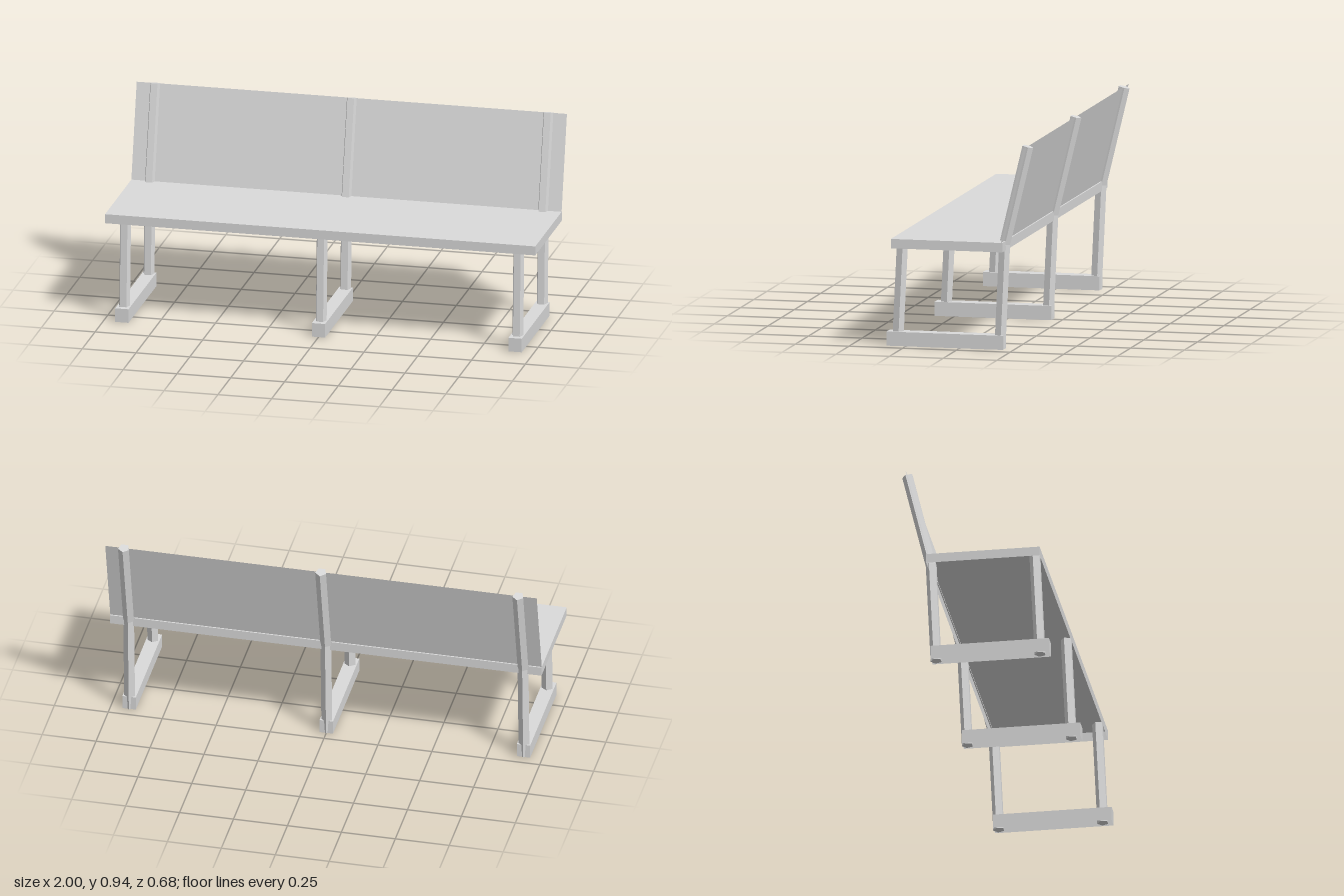
import * as THREE from 'three';

// the seat, rails and backrest are open sheets, so both sides show
const grey = new THREE.MeshStandardMaterial({ color: 0xdadada, side: THREE.DoubleSide });
grey.name = 'grey';

const POST_RADIUS = 0.0265;
const FRAME_X = [-0.914, 0, 0.914];

// Box without an underside, given by its x, y and z limits
function openBox(name, [x0, x1], [y0, y1], [z0, z1]) {
  const geometry = new THREE.BoxGeometry(x1 - x0, y1 - y0, z1 - z0);
  const faces = Array.from(geometry.index.array);
  faces.splice(18, 6); // bottom face
  geometry.setIndex(faces);
  geometry.clearGroups();
  const mesh = new THREE.Mesh(geometry, grey);
  mesh.position.set((x0 + x1) / 2, (y0 + y1) / 2, (z0 + z1) / 2);
  mesh.name = name;
  return mesh;
}

// Five-sided post whose rings follow stations of [y, z, backward tilt], bottom to top
function post(name, stations) {
  const n = stations.length - 1;
  const indexed = new THREE.CylinderGeometry(POST_RADIUS, POST_RADIUS, 1, 5, n, false, Math.PI);
  const p = indexed.attributes.position;
  for (let i = 0; i < p.count; i++) {
    const [y, z, tilt] = stations[Math.round((p.getY(i) + 0.5) * n)];
    const d = p.getZ(i);
    p.setXYZ(i, p.getX(i), y + d * Math.sin(tilt), z + d * Math.cos(tilt));
  }
  const geometry = indexed.toNonIndexed();
  geometry.computeVertexNormals();
  const mesh = new THREE.Mesh(geometry, grey);
  mesh.name = name;
  return mesh;
}

export function createModel() {
  const bench = new THREE.Group();
  bench.name = 'bench';

  bench.add(openBox('seat', [-1, 1], [0.455, 0.498], [-0.214, 0.305]));

  // Backrest sheet running through the middle of the upper posts
  const low = new THREE.Vector2(-0.203, 0.48), high = new THREE.Vector2(-0.311, 0.931);
  const backrest = new THREE.Mesh(new THREE.PlaneGeometry(2, low.distanceTo(high)), grey);
  const lean = Math.atan2(low.x - high.x, high.y - low.y);
  backrest.rotation.x = -lean;
  backrest.position.set(0, (low.y + high.y) / 2, (low.x + high.x) / 2);
  backrest.name = 'backrest';
  bench.add(backrest);

  // Three frames: foot rail, front leg and bent back post
  for (const x of FRAME_X) {
    const frame = new THREE.Group();
    frame.name = 'frame';
    frame.position.x = x;
    frame.add(
      openBox('footRail', [-0.031, 0.031], [0.0005, 0.065], [-0.203, 0.339]),
      post('frontLeg', [[0.0013, 0.295, 0.048], [0.496, 0.2715, 0.048]]),
      post('backPost', [[0.0013, -0.181, 0.048], [low.y, low.x, (0.048 + lean) / 2], [high.y, high.x, lean]])
    );
    bench.add(frame);
  }
  return bench;
}
